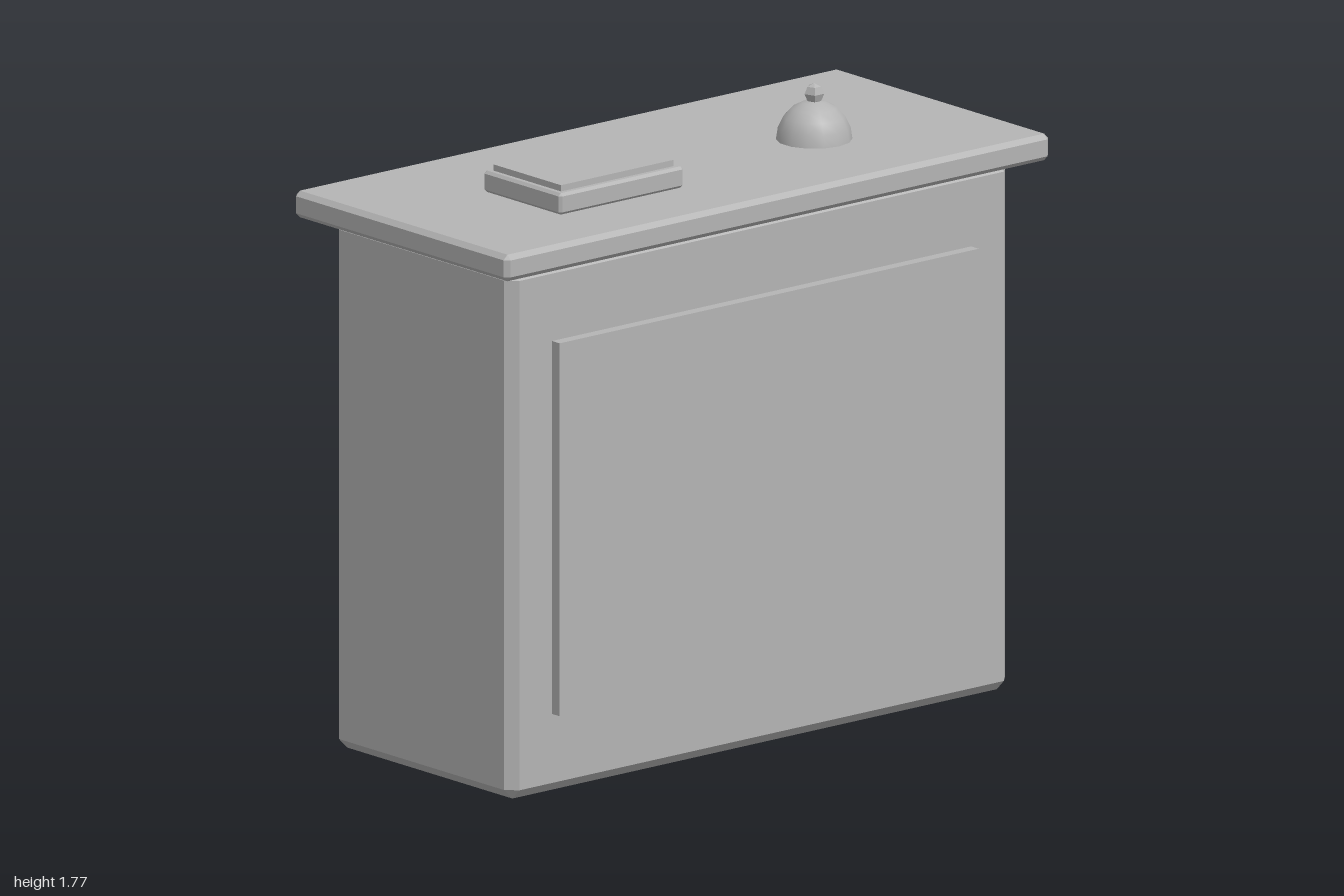
import * as THREE from 'three';
import { ConvexGeometry } from 'three/addons/geometries/ConvexGeometry.js';

const grey = new THREE.MeshStandardMaterial({ color: 0xb4b4b4 });
grey.name = 'plain grey';

// Box with a flat chamfer c along every edge
function chamferBox(w, h, d, c) {
  const points = [];
  for (const sx of [-1, 1]) for (const sy of [-1, 1]) for (const sz of [-1, 1]) {
    const x = sx * w / 2, y = sy * h / 2, z = sz * d / 2;
    points.push(
      new THREE.Vector3(x, y - sy * c, z - sz * c),
      new THREE.Vector3(x - sx * c, y, z - sz * c),
      new THREE.Vector3(x - sx * c, y - sy * c, z));
  }
  return new ConvexGeometry(points);
}

export function createModel() {
  const model = new THREE.Group();
  model.name = 'receptionCounter';
  const add = (name, geometry, x, y, z) => {
    const mesh = new THREE.Mesh(geometry, grey);
    mesh.name = name;
    mesh.position.set(x, y, z);
    model.add(mesh);
  };

  // Counter
  add('body', chamferBox(1.84, 1.535, 0.77, 0.03), 0, 0.7675, 0);
  add('frontPanel', new THREE.BoxGeometry(1.54, 1.08, 0.06), 0, 0.77, 0.388);
  add('countertop', chamferBox(2, 0.077, 0.92, 0.014), 0, 1.5725, 0);

  // Register book lying on the counter
  add('book', chamferBox(0.456, 0.062, 0.333, 0.008), -0.387, 1.646, 0.073);
  add('bookPage', new THREE.BoxGeometry(0.414, 0.03, 0.29), -0.387, 1.68, 0.073);

  // Service bell: half-dome with a closed base, and a small faceted knob
  const profile = [new THREE.Vector2(0, 0)];
  for (let i = 0; i <= 5; i++) {
    const a = i / 5 * Math.PI / 2;
    profile.push(new THREE.Vector2(i === 5 ? 0 : 0.107 * Math.cos(a), 0.112 * Math.sin(a)));
  }
  const dome = new THREE.LatheGeometry(profile.slice(1), 14);
  add('bellDome', dome, 0.46, 1.612, 0.073);
  const base = new THREE.CircleGeometry(0.107, 14).rotateX(Math.PI / 2);
  add('bellBase', base, 0.46, 1.612, 0.073);
  const knob = new THREE.SphereGeometry(0.029, 5, 4, -Math.PI / 2).toNonIndexed();
  knob.computeVertexNormals();
  add('bellKnob', knob, 0.46, 1.744, 0.073);

  return model;
}
